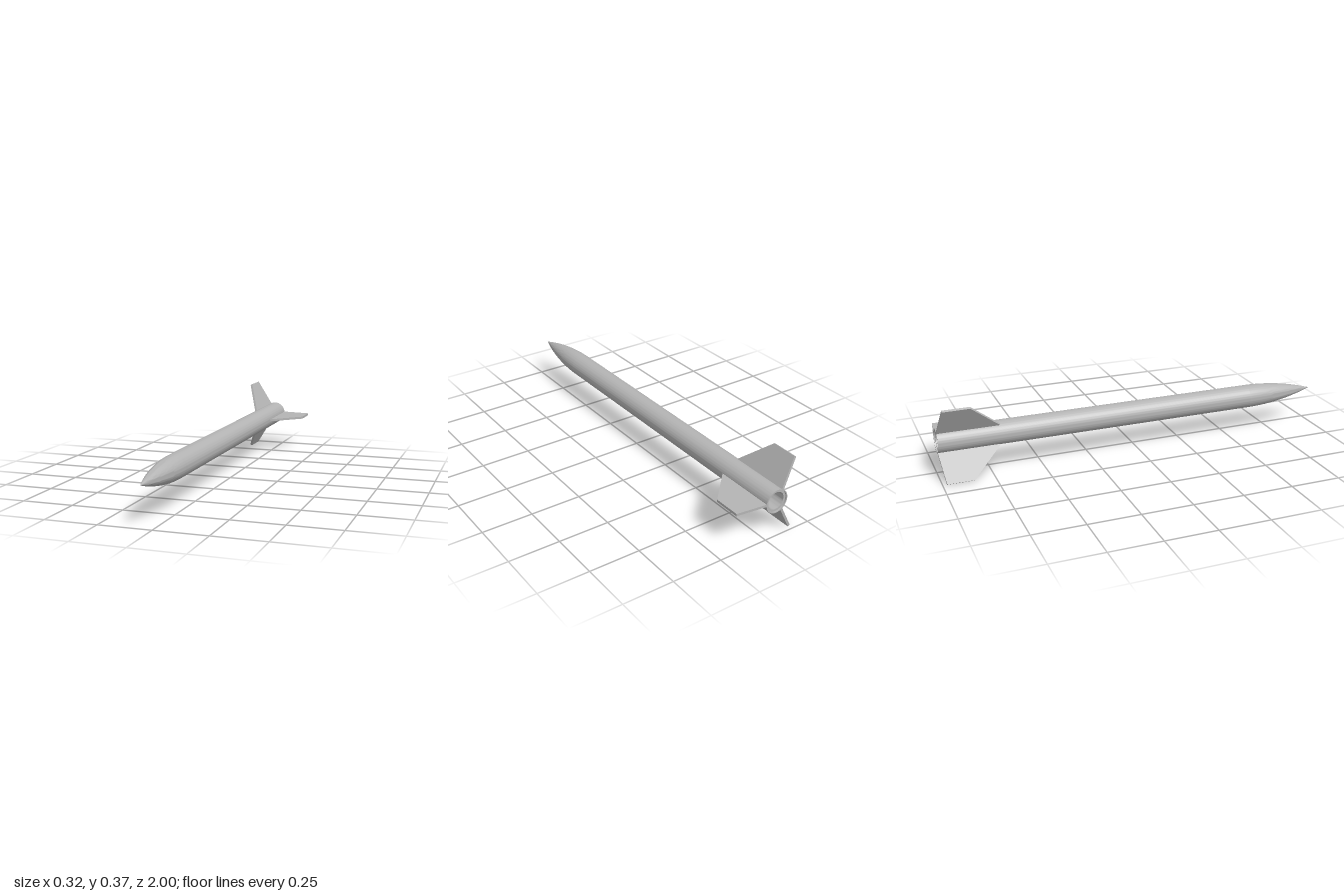
import * as THREE from 'three';
import { toCreasedNormals } from 'three/addons/utils/BufferGeometryUtils.js';

const RADIUS = 0.059;
const NOSE_BASE = 0.62;
const SEGMENTS = 64;

// Turns an (r, z) profile around the z axis, keeping sharp edges sharp
function turned(profile) {
  const points = profile.map(([r, z]) => new THREE.Vector2(r, z));
  const geometry = new THREE.LatheGeometry(points, SEGMENTS).rotateX(Math.PI / 2);
  return toCreasedNormals(geometry, 0.5);
}

export function createModel() {
  const grey = new THREE.MeshStandardMaterial({ color: 0xb4b4b4 });
  grey.name = 'grey';

  const rocket = new THREE.Group();
  rocket.name = 'rocket';
  rocket.position.set(-0.05, 0.185, 0);

  function add(name, geometry) {
    const mesh = new THREE.Mesh(geometry, grey);
    mesh.name = name;
    rocket.add(mesh);
    return mesh;
  }

  // Body tube
  add('bodyTube', turned([
    [0.054, -0.9], [0.054, -1], [RADIUS, -1], [RADIUS, NOSE_BASE],
  ]));

  // Motor tube, slightly recessed, with a blind bore
  add('motorTube', turned([
    [0, -0.6], [0.043, -0.6], [0.043, -0.993], [0.054, -0.993],
  ]));

  // Nose cone: tangent ogive
  const length = 1 - NOSE_BASE;
  const rho = (RADIUS ** 2 + length ** 2) / (2 * RADIUS);
  const ogive = [];
  for (let i = 0; i <= 24; i++) {
    const d = (length * i) / 24;
    const r = Math.sqrt(rho * rho - d * d) + RADIUS - rho;
    ogive.push([Math.max(r, 0), NOSE_BASE + d]);
  }
  add('noseCone', turned(ogive));

  // Three swept fins around the tail
  const outline = [[0.057, -0.7], [0.057, -1], [RADIUS, -1], [0.21, -0.98], [0.21, -0.85], [RADIUS, -0.7]];
  const shape = new THREE.Shape(outline.map(([r, z]) => new THREE.Vector2(r, z)));
  const finGeometry = new THREE.ExtrudeGeometry(shape, { depth: 0.012, bevelEnabled: false })
    .translate(0, 0, -0.006)
    .rotateX(Math.PI / 2);
  ['leftFin', 'upperFin', 'lowerFin'].forEach((name, i) => {
    add(name, finGeometry).rotation.z = (i * Math.PI * 2) / 3;
  });

  const model = new THREE.Group();
  model.name = 'model';
  model.add(rocket);
  return model;
}
